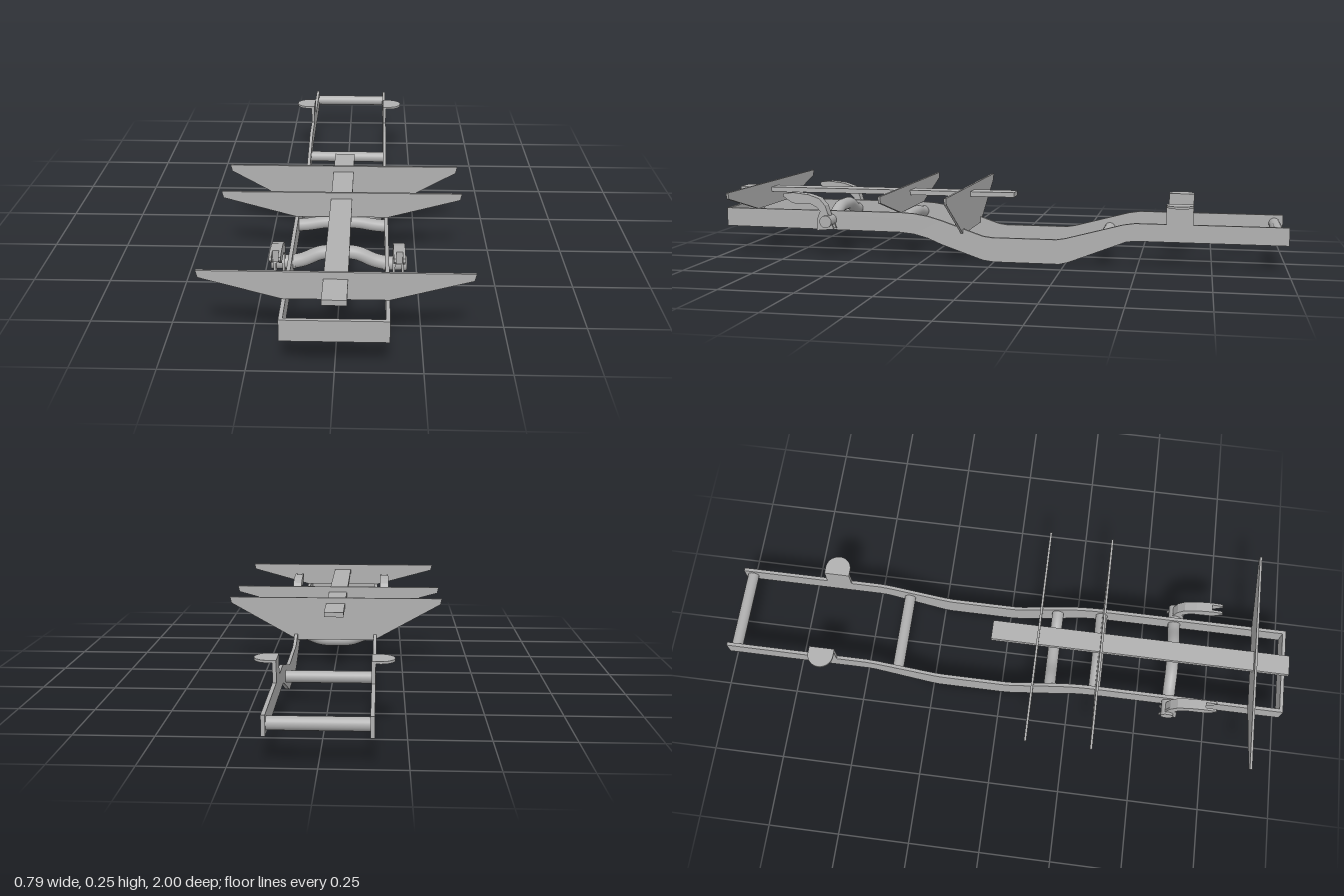
import * as THREE from 'three';

export function createModel() {
  const model = new THREE.Group();
  model.name = 'vehicleFrame';
  const grey = new THREE.MeshStandardMaterial({ color: 0xb0b0b0 });
  grey.name = 'steelGrey';

  const add = (name, geometry, x = 0, y = 0, z = 0) => {
    const mesh = new THREE.Mesh(geometry, grey);
    mesh.name = name;
    mesh.position.set(x, y, z);
    model.add(mesh);
    return mesh;
  };
  const outline = (points) => new THREE.Shape(points.map(([a, b]) => new THREE.Vector2(a, b)));
  const extrude = (shape, depth) =>
    new THREE.ExtrudeGeometry(shape, { depth, bevelEnabled: false, curveSegments: 16 })
      .translate(0, 0, -depth / 2);
  // Side profile given as (z, y), thickened along x
  const sideProfile = (points, width) => extrude(outline(points), width).rotateY(-Math.PI / 2);
  const tube = (points, radius) => new THREE.TubeGeometry(
    new THREE.CatmullRomCurve3(points.map(([x, y]) => new THREE.Vector3(x, y, 0))), 40, radius, 20);
  const rod = (length, radius) =>
    new THREE.CylinderGeometry(radius, radius, length, 24).rotateZ(Math.PI / 2);

  // Side rails with the dropped middle section
  const railPoints = [
    [1, 0.166], [0.34, 0.166], [0.29, 0.163], [0.24, 0.155], [0.19, 0.141],
    [0.07, 0.1], [0.04, 0.09], [0.01, 0.086],
    [-0.22, 0.086], [-0.25, 0.091], [-0.45, 0.145], [-0.49, 0.151], [-1, 0.151],
    [-1, 0.09], [-0.49, 0.09], [-0.46, 0.086], [-0.26, 0.007], [-0.23, 0],
    [0, 0], [0.04, 0.005], [0.19, 0.056], [0.24, 0.077], [0.29, 0.09], [0.34, 0.095], [1, 0.1],
  ];
  // Rear body mount cap: straight inner edge, rounded outer edge
  const cap = new THREE.Shape();
  cap.moveTo(0, -0.045);
  cap.lineTo(0.026, -0.045);
  cap.absarc(0.026, 0, 0.045, -Math.PI / 2, Math.PI / 2, false);
  cap.lineTo(0, 0.045);
  cap.closePath();

  // Hooked bracket cheeks and the web between them
  const cheek = [
    [0.757, 0.231], [0.72, 0.234], [0.665, 0.228], [0.625, 0.215], [0.603, 0.19],
    [0.59, 0.15], [0.573, 0.106], [0.636, 0.1], [0.632, 0.145], [0.622, 0.17],
    [0.608, 0.187], [0.655, 0.194], [0.725, 0.196], [0.76, 0.22],
  ];
  cheek.splice(10, 1, [0.636, 0.184]);
  const web = [
    [0.72, 0.234], [0.665, 0.228], [0.625, 0.215], [0.603, 0.19], [0.588, 0.145],
    [0.632, 0.145], [0.622, 0.17], [0.636, 0.184], [0.655, 0.194], [0.72, 0.196],
  ];

  for (const side of [-1, 1]) {
    const label = side > 0 ? 'left' : 'right';
    add(label + 'Rail', sideProfile(railPoints, 0.012), side * 0.148);
    add(label + 'RearMountPost', new THREE.BoxGeometry(0.012, 0.075, 0.09), side * 0.148, 0.18, -0.64);
    const mount = add(label + 'RearMountCap', extrude(cap, 0.008).rotateX(-Math.PI / 2),
      side * 0.142, 0.216, -0.64);
    if (side < 0) mount.rotation.y = Math.PI;
    for (const offset of [-0.0135, 0.0135]) {
      add(label + 'BracketCheek', sideProfile(cheek, 0.008), side * 0.183 + offset);
    }
    add(label + 'BracketWeb', sideProfile(web, 0.02), side * 0.183);
    add(label + 'AxleStub', rod(0.075, 0.022), side * 0.172, 0.133, 0.6);
  }

  // Front plate joining the rails
  add('frontCrossPlate', new THREE.BoxGeometry(0.308, 0.067, 0.012), 0, 0.133, 0.994);

  // Straight rear cross tubes
  add('rearCrossTube', rod(0.29, 0.02), 0, 0.12, -0.97);
  add('middleCrossTube', rod(0.29, 0.02), 0, 0.086, -0.38);

  // Bowed cross tubes
  const bow = (end, middle) => [
    [-0.148, end], [-0.11, end + (middle - end) * 0.25], [-0.055, end + (middle - end) * 0.9],
    [0, middle], [0.055, end + (middle - end) * 0.9], [0.11, end + (middle - end) * 0.25], [0.148, end],
  ];
  add('frontAxleTube', tube(bow(0.133, 0.17), 0.022), 0, 0, 0.6);
  add('forwardCrossTube', tube(bow(0.13, 0.144), 0.021), 0, 0, 0.335);
  add('droppedCrossTube', tube(bow(0.105, 0.076), 0.021), 0, 0, 0.175);

  // Flared body support plates
  const supportPlate = (x, y) => extrude(outline([
    [-0.395, 0.253], [-0.39, 0.231], [-x, y], [x, y], [0.39, 0.231], [0.395, 0.253],
  ]), 0.008);
  add('frontSupportPlate', supportPlate(0.154, 0.166), 0, 0, 0.88);
  add('middleSupportPlate', supportPlate(0.154, 0.166), 0, 0, 0.34);
  add('rearSupportPlate', supportPlate(0.145, 0.093), 0, 0, 0.115);

  // Central spine through the plates
  add('centreSpine', new THREE.BoxGeometry(0.07, 0.017, 1.05), 0, 0.223, 0.475);

  return model;
}
